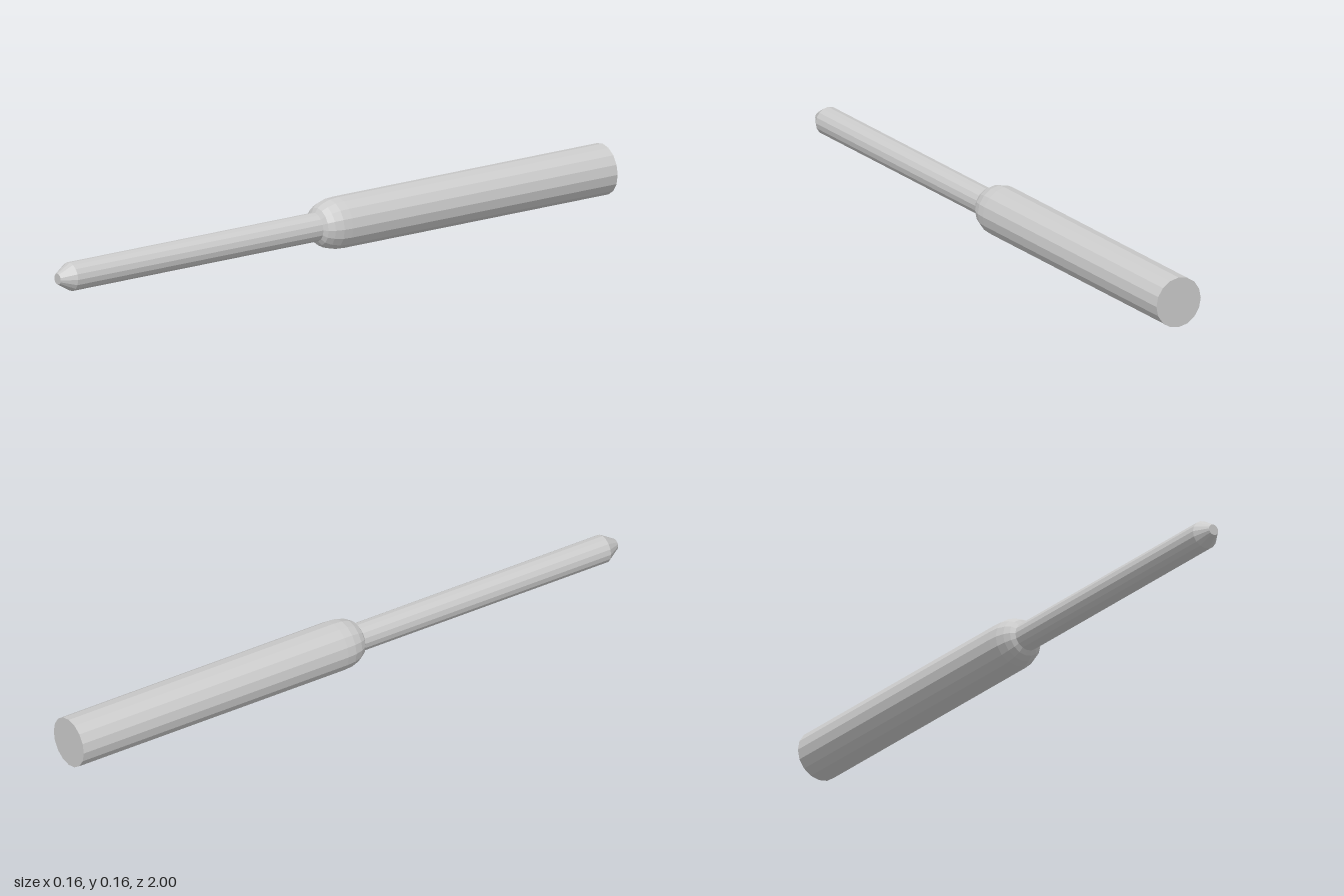
import * as THREE from 'three';

const SIDES = 16;
const RADIUS = 0.079;

export function createModel() {
  const model = new THREE.Group();
  const material = new THREE.MeshStandardMaterial({ color: 0xcccccc, flatShading: true });

  // Turns a profile of [radius, z] points, listed back to front, around the z axis
  const addTurned = (name, profile) => {
    const points = profile.map(([r, z]) => new THREE.Vector2(r, z));
    const geometry = new THREE.LatheGeometry(points, SIDES);
    geometry.rotateX(Math.PI / 2);
    const mesh = new THREE.Mesh(geometry, material);
    mesh.name = name;
    mesh.position.y = RADIUS;
    model.add(mesh);
  };

  // Thick handle with a flat back and a rounded shoulder
  addTurned('handle', [
    [0, -1], [RADIUS, -1], [RADIUS, -0.03], [0.077, 0],
    [0.069, 0.027], [0.058, 0.046], [0.044, 0.055], [0, 0.055],
  ]);

  // Slim rod with a bevelled, blunt tip
  addTurned('rod', [
    [0.044, 0.05], [0.044, 0.955], [0.017, 1], [0, 1],
  ]);

  return model;
}
